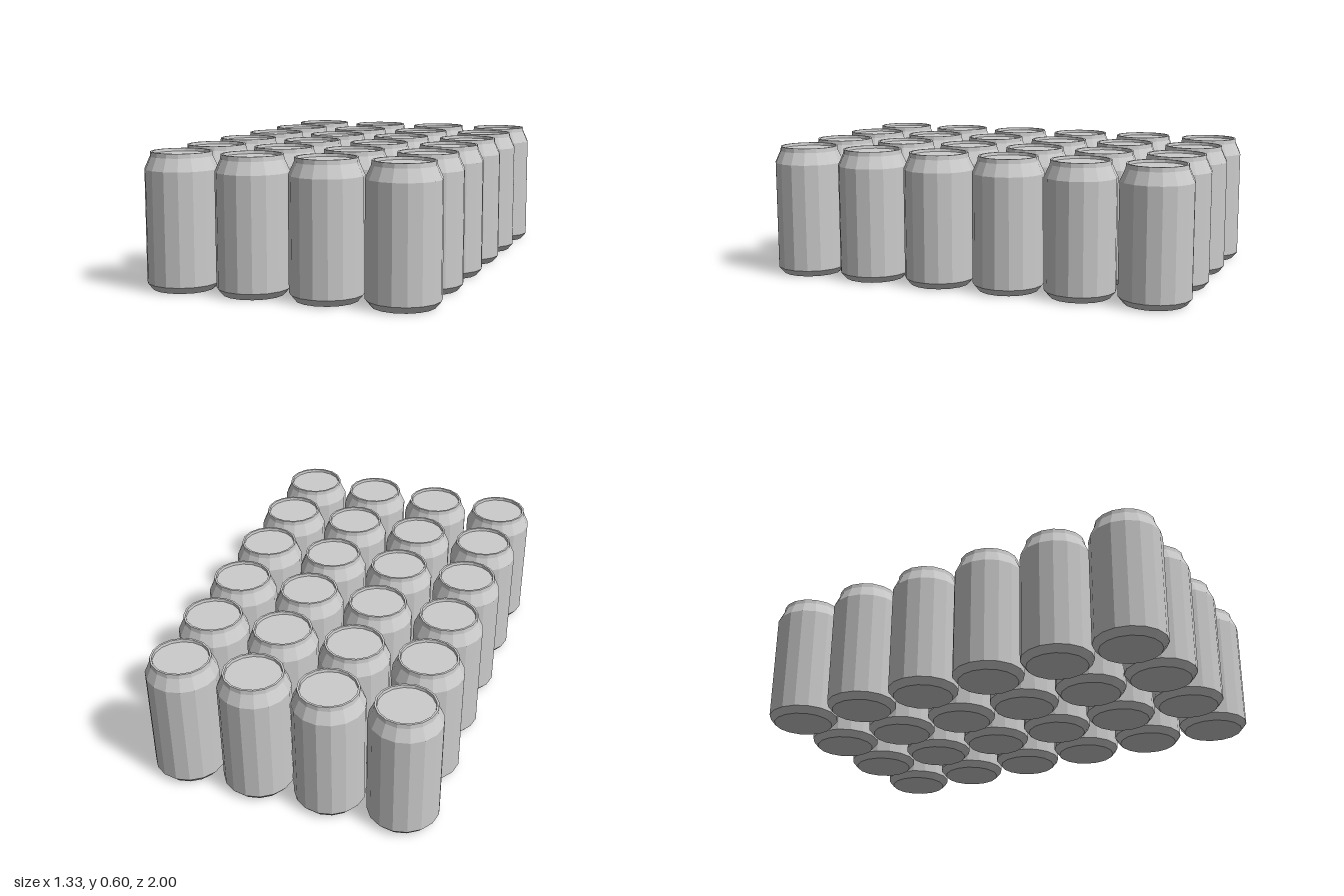
import * as THREE from 'three';

const SIDES = 16;
const PITCH = 0.336;

export function createModel() {
  const group = new THREE.Group();
  group.name = 'canTray';
  const material = new THREE.MeshStandardMaterial({ color: 0xcccccc, flatShading: true });

  // Can outline: base, chamfer, wall, shoulder, rim, recessed lid
  const profile = [
    [0, 0], [0.135, 0], [0.16, 0.03], [0.16, 0.525],
    [0.135, 0.58], [0.133, 0.6], [0.124, 0.6], [0.122, 0.587], [0, 0.587],
  ].map(([r, y]) => new THREE.Vector2(r, y));
  const canGeometry = new THREE.LatheGeometry(profile, SIDES);

  // Six rows of four cans
  for (let row = 0; row < 6; row++) {
    for (let col = 0; col < 4; col++) {
      const can = new THREE.Mesh(canGeometry, material);
      can.name = `can_row${row + 1}_column${col + 1}`;
      can.position.set((col - 1.5) * PITCH, 0, (row - 2.5) * PITCH);
      group.add(can);
    }
  }
  return group;
}
